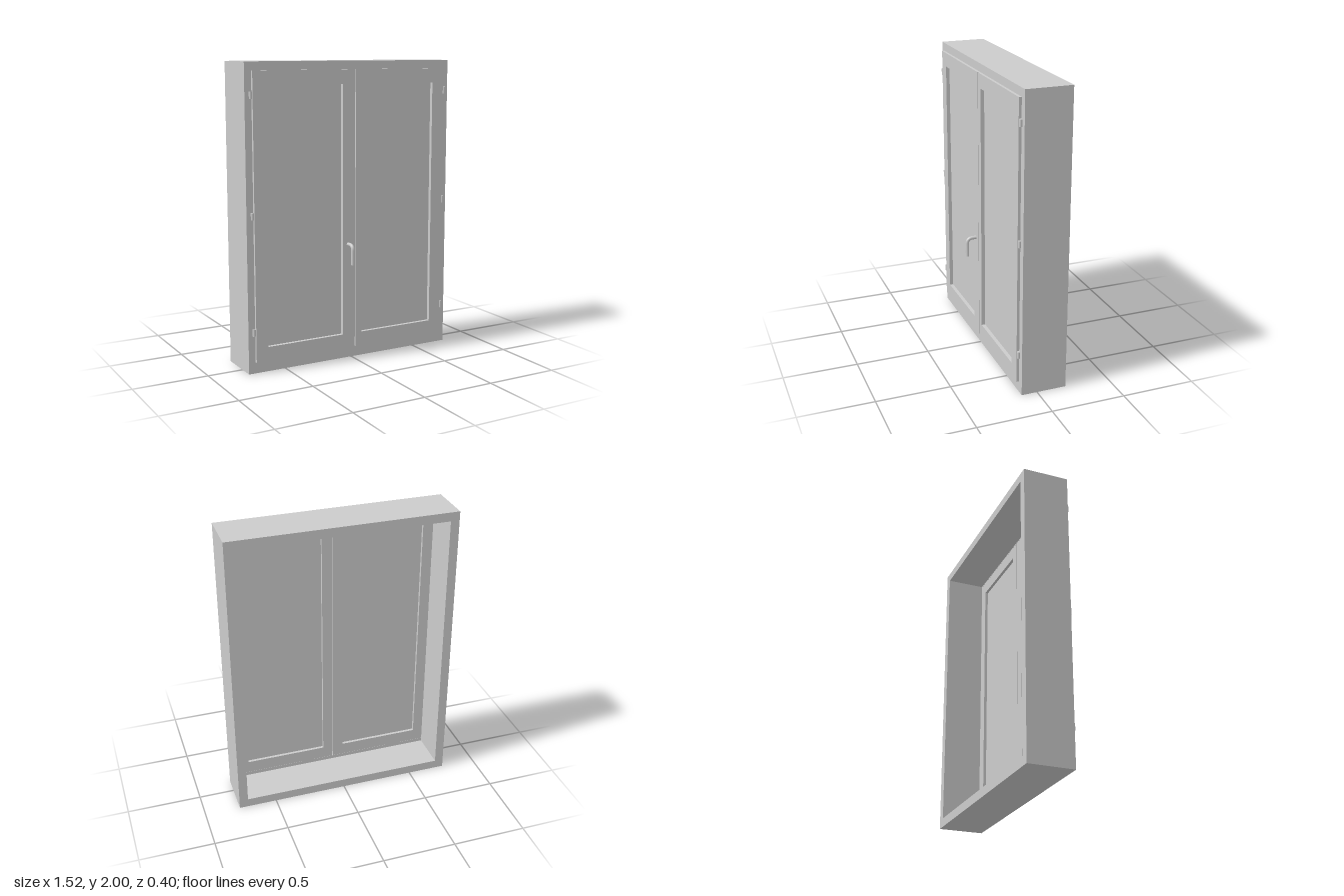
import * as THREE from 'three';

const mat = new THREE.MeshStandardMaterial({ color: 0xcccccc });

function add(parent, name, geo) {
  const mesh = new THREE.Mesh(geo, mat);
  mesh.name = name;
  parent.add(mesh);
  return mesh;
}

// Rectangular ring: outer and inner given as [x0, x1, y0, y1], extruded z0..z1
function ring(outer, inner, z0, z1) {
  const [a, b, c, d] = outer, [e, f, g, h] = inner;
  const shape = new THREE.Shape([[a, c], [b, c], [b, d], [a, d]].map(p => new THREE.Vector2(...p)));
  shape.holes.push(new THREE.Path([[e, g], [e, h], [f, h], [f, g]].map(p => new THREE.Vector2(...p))));
  return new THREE.ExtrudeGeometry(shape, { depth: z1 - z0, bevelEnabled: false }).translate(0, 0, z0);
}

function box(x0, x1, y0, y1, z0, z1) {
  return new THREE.BoxGeometry(x1 - x0, y1 - y0, z1 - z0)
    .translate((x0 + x1) / 2, (y0 + y1) / 2, (z0 + z1) / 2);
}

export function createModel() {
  const model = new THREE.Group();
  model.name = 'window';

  // Deep casing with a narrower rebate at the front
  const casing = [-0.76, 0.76, 0, 2];
  add(model, 'frame', ring(casing, [-0.7, 0.7, 0.06, 1.94], -0.2, 0.065));
  add(model, 'frameRebate', ring(casing, [-0.7, 0.7, 0.085, 1.935], 0.065, 0.107));

  // Two sashes: body inside the casing, lip overlapping its front, recessed pane
  const sashes = [
    { name: 'rightSash', lip: [-0.713, 0.017], body: [-0.7, -0.002], pane: [-0.63, -0.075] },
    { name: 'leftSash', lip: [0.022, 0.712], body: [0.002, 0.7], pane: [0.07, 0.625] },
  ];
  for (const s of sashes) {
    const sash = new THREE.Group();
    sash.name = s.name;
    const opening = [...s.pane, 0.17, 1.85];
    add(sash, 'sashBody', ring([...s.body, 0.085, 1.935], opening, 0.066, 0.107));
    add(sash, 'sashLip', ring([...s.lip, 0.075, 1.945], opening, 0.107, 0.125));
    add(sash, 'pane', box(...s.pane, 0.17, 1.85, 0.086, 0.1));
    model.add(sash);
  }

  // Three hinge barrels on each side
  for (const side of [-1, 1]) {
    for (const y of [0.275, 1.035, 1.795]) {
      add(model, 'hinge', new THREE.CylinderGeometry(0.01, 0.01, 0.045, 12))
        .position.set(side * 0.724, y, 0.117);
    }
  }

  // Bent handle hanging down from the right sash
  const path = new THREE.CurvePath();
  const v = (y, z) => new THREE.Vector3(-0.035, y, z);
  path.add(new THREE.LineCurve3(v(0.79, 0.12), v(0.79, 0.153)));
  path.add(new THREE.QuadraticBezierCurve3(v(0.79, 0.153), v(0.79, 0.188), v(0.755, 0.188)));
  path.add(new THREE.LineCurve3(v(0.755, 0.188), v(0.66, 0.188)));
  add(model, 'handle', new THREE.TubeGeometry(path, 32, 0.012, 12));
  const cap = add(model, 'handleEnd', new THREE.CircleGeometry(0.012, 12));
  cap.rotation.x = Math.PI / 2;
  cap.position.set(-0.035, 0.66, 0.188);

  return model;
}
